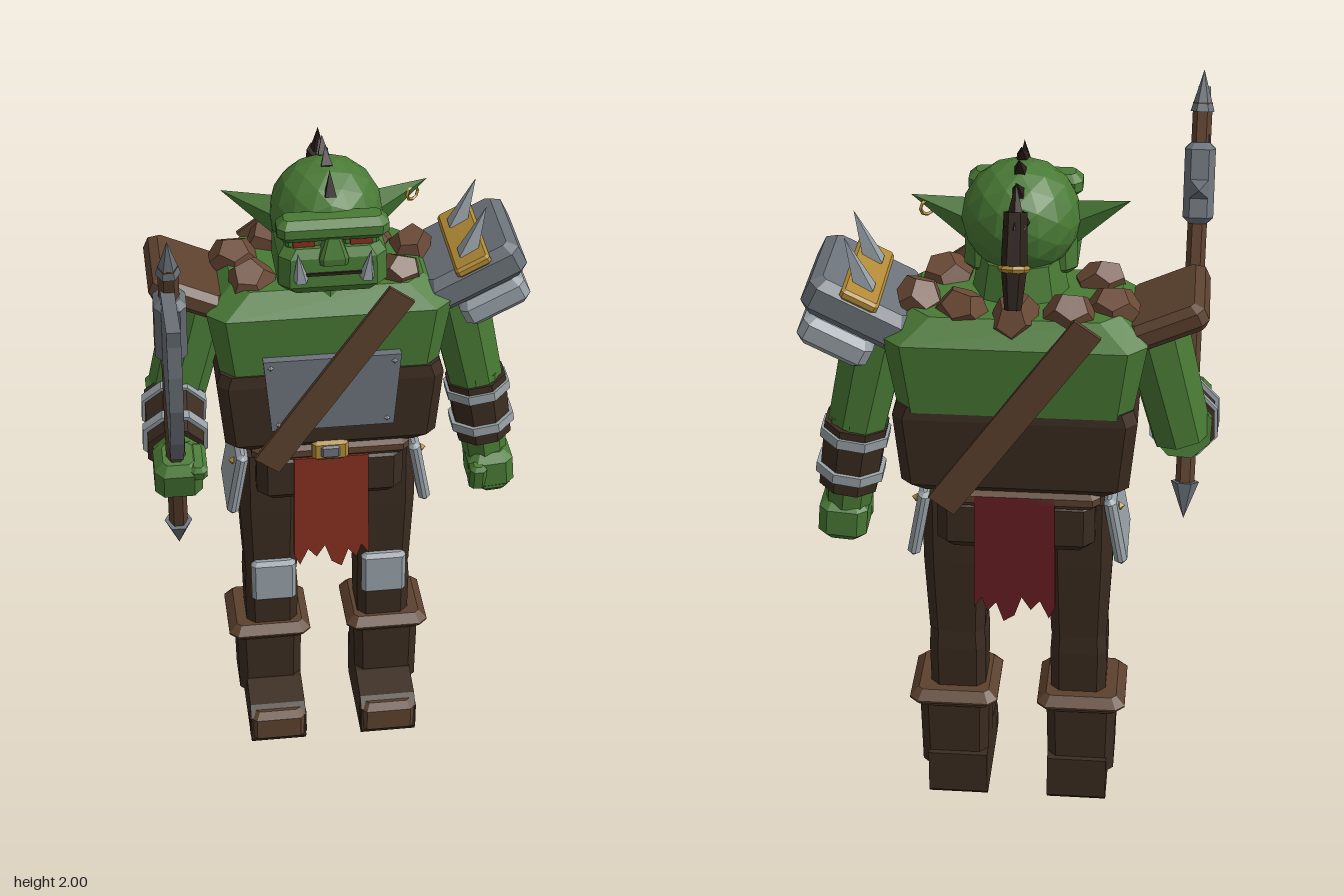
import * as THREE from 'three';

const mat = (name, color) => new THREE.MeshStandardMaterial({ name, color });
const V = (x, y, z) => new THREE.Vector3(x, y, z);
const CX = -0.01; // body midline

export function createModel() {
  const root = new THREE.Group();
  root.name = 'axeWarrior';
  const skin = mat('greenSkin', 0x497a35), dark = mat('darkLeather', 0x3b2c20), leather = mat('brownLeather', 0x5c412e),
    fur = mat('fur', 0x6b4a36), steel = mat('steel', 0x6b7279), pale = mat('paleSteel', 0x98a1a7),
    gold = mat('gold', 0xb18a36), red = mat('redCloth', 0x86301f), wine = mat('darkRedCloth', 0x681e22),
    hair = mat('darkHair', 0x2c211a);

  // Faceted mesh
  function add(name, geo, material, pos = [0, 0, 0], rot = [0, 0, 0], parent = root) {
    const g = geo.index ? geo.toNonIndexed() : geo;
    g.computeVertexNormals();
    const m = new THREE.Mesh(g, material);
    m.name = name;
    m.position.set(...pos);
    m.rotation.set(...rot);
    parent.add(m);
    return m;
  }
  // Octagonal cross-sections [y, halfWidth, halfDepth, cornerCut] stacked upward and capped
  function loft(rings) {
    const p = [], idx = [], n = 8;
    for (const [y, w, d, c] of rings)
      for (const [x, z] of [[w, d - c], [w, c - d], [w - c, -d], [c - w, -d], [-w, c - d], [-w, d - c], [c - w, d], [w - c, d]]) p.push(x, y, z);
    for (let r = 0; r < rings.length - 1; r++)
      for (let i = 0; i < n; i++) {
        const a = r * n + i, b = r * n + (i + 1) % n;
        idx.push(a, b, b + n, a, b + n, a + n);
      }
    const t = (rings.length - 1) * n;
    for (let i = 1; i < n - 1; i++) idx.push(0, i + 1, i, t, t + i, t + i + 1);
    const g = new THREE.BufferGeometry();
    g.setAttribute('position', new THREE.Float32BufferAttribute(p, 3));
    g.setIndex(idx);
    return g;
  }
  // Box with chamfered edges
  const block = (w, h, d, c = 0.015) => loft([
    [-h / 2, w / 2 - c, d / 2 - c, c * 0.5], [-h / 2 + c, w / 2, d / 2, c],
    [h / 2 - c, w / 2, d / 2, c], [h / 2, w / 2 - c, d / 2 - c, c * 0.5]]);
  // Tapered prism from a to b
  function limb(name, a, b, r1, r2, material, n = 8) {
    const d = b.clone().sub(a);
    const m = add(name, new THREE.CylinderGeometry(r2, r1, d.length(), n, 1, false, Math.PI / n), material,
      a.clone().add(b).multiplyScalar(0.5).toArray());
    m.quaternion.setFromUnitVectors(V(0, 1, 0), d.normalize());
    return m;
  }
  const flat = (pts, depth) => new THREE.ExtrudeGeometry(
    new THREE.Shape(pts.map(([x, y]) => new THREE.Vector2(x, y))), { depth, bevelEnabled: false });
  // Side profile given as [z, y], extruded across x and centred
  const side = (pts, w) => flat(pts, w).rotateY(-Math.PI / 2).translate(w / 2, 0, 0);

  // Torso
  add('chest', loft([[1.32, 0.31, 0.195, 0.04], [1.52, 0.345, 0.21, 0.05], [1.585, 0.27, 0.16, 0.05]]), skin, [CX, 0, -0.295]);
  add('vest', loft([[1.07, 0.27, 0.165, 0.03], [1.1, 0.305, 0.195, 0.03], [1.3, 0.324, 0.203, 0.03], [1.335, 0.312, 0.197, 0.03]]), dark, [CX, 0, -0.29]);
  add('belt', block(0.46, 0.06, 0.37, 0.02), leather, [CX, 1.055, -0.29]);
  add('hips', block(0.43, 0.17, 0.33, 0.03), dark, [CX, 0.96, -0.285]);
  add('neck', new THREE.CylinderGeometry(0.11, 0.14, 0.16, 8), skin, [CX, 1.6, -0.25]);
  add('buckle', block(0.105, 0.065, 0.03, 0.01), gold, [CX - 0.005, 1.07, -0.1]);
  add('buckleCentre', block(0.055, 0.04, 0.02, 0.006), steel, [CX - 0.005, 1.07, -0.088]);
  add('chestPlate', flat([[-0.175, 1.165], [0.175, 1.165], [0.195, 1.395], [-0.195, 1.395]], 0.03), steel, [CX, 0, -0.098]);
  for (const s of [-1, 1]) for (const [x, y] of [[0.155, 1.185], [0.175, 1.375]])
    add('chestRivet', new THREE.OctahedronGeometry(0.009), pale, [CX + s * x, y, -0.067]);
  for (const [name, z, a] of [['frontStrap', -0.06, 0.95], ['backStrap', -0.512, -0.95]])
    add(name, new THREE.BoxGeometry(0.66, 0.085, 0.014), leather, [CX, 1.325, z], [0, 0, a]);

  // Torn cloths
  const cloth = [[-0.108, 1.035], [-0.112, 0.69], [-0.095, 0.655], [-0.07, 0.71], [-0.045, 0.68], [-0.02, 0.72], [0.0, 0.66],
    [0.03, 0.64], [0.05, 0.7], [0.075, 0.67], [0.09, 0.715], [0.112, 0.68], [0.108, 1.035]];
  add('frontCloth', flat(cloth.slice().reverse(), 0.02), red, [CX, 0, -0.128]);
  add('backCloth', flat(cloth.slice().reverse(), 0.02), wine, [CX, 0.03, -0.475]);

  // Fur collar
  [[-0.26, -0.35], [-0.15, -0.415], [-0.01, -0.43], [0.13, -0.405], [0.245, -0.345], [-0.22, -0.2], [0.19, -0.2]].forEach(([x, z], i) =>
    add('furTuft', new THREE.DodecahedronGeometry(0.074).scale(1, 0.8, 1), fur, [x, 1.58, z], [i * 0.9, i * 1.7, i * 0.5]));

  // Head
  add('head', new THREE.IcosahedronGeometry(0.158, 2).scale(1, 0.97, 1), skin, [CX, 1.78, -0.228]);
  add('jaw', loft([[1.62, 0.13, 0.1, 0.03], [1.645, 0.15, 0.118, 0.03], [1.73, 0.148, 0.115, 0.03], [1.755, 0.13, 0.1, 0.03]]), skin, [CX, 0, -0.155]);
  add('brow', block(0.305, 0.065, 0.09, 0.02), skin, [CX, 1.812, -0.075]);
  add('nose', loft([[1.715, 0.038, 0.035, 0.01], [1.735, 0.04, 0.037, 0.01], [1.79, 0.02, 0.02, 0.006]]), skin, [CX, 0, -0.058]);
  add('mouth', new THREE.BoxGeometry(0.17, 0.008, 0.006), hair, [CX, 1.685, -0.036]);
  for (const s of [-1, 1]) {
    add('eye', new THREE.BoxGeometry(0.06, 0.026, 0.009), red, [CX + s * 0.078, 1.77, -0.066]);
    add('eyeSocket', block(0.1, 0.04, 0.05, 0.008), skin, [CX + s * 0.078, 1.768, -0.094]);
    limb('tusk', V(CX + s * 0.09, 1.67, -0.035), V(CX + s * 0.1, 1.762, -0.02), 0.022, 0, pale, 5);
    add('ear', new THREE.ConeGeometry(0.062, 0.18, 4).rotateZ(-s * 1.15).scale(1, 1, 0.42), skin,
      [CX + s * 0.205, 1.805, -0.245], [0, s * 0.15, 0]);
  }
  add('earring', new THREE.TorusGeometry(0.02, 0.005, 4, 8), gold, [0.235, 1.803, -0.25], [0, 0.6, 0]);

  // Crest and braid
  [[0.115, 0.1, 0.1, 0.17], [0.03, 0.145, -0.005, 0.192], [-0.045, 0.14, -0.08, 0.187], [-0.105, 0.105, -0.145, 0.15]].forEach(([z, y, tz, ty]) =>
    limb('crestSpike', V(CX, 1.78 + y, -0.228 + z), V(CX, 1.78 + ty, -0.228 + tz), 0.022, 0, hair, 4));
  limb('braidRoot', V(CX, 1.82, -0.36), V(CX, 1.84, -0.44), 0.035, 0.025, hair, 6);
  limb('braidTuft', V(CX, 1.83, -0.43), V(CX, 1.945, -0.4), 0.03, 0, hair, 5);
  limb('braidUpper', V(CX, 1.87, -0.415), V(CX, 1.74, -0.463), 0.03, 0.034, hair, 6);
  limb('braidLower', V(CX, 1.74, -0.463), V(CX, 1.635, -0.5), 0.034, 0.022, hair, 6);
  add('braidRing', new THREE.TorusGeometry(0.034, 0.009, 5, 8), gold, [CX, 1.735, -0.465], [Math.PI / 2 + 0.35, 0, 0]);

  // Armour on the right shoulder
  add('leatherPauldron', block(0.215, 0.075, 0.295, 0.02), leather, [-0.405, 1.56, -0.293], [0, 0, -0.42]);

  // Armour on the left shoulder
  const pauldron = new THREE.Group();
  pauldron.name = 'steelPauldron';
  pauldron.position.set(0.405, 1.575, -0.295);
  pauldron.rotation.z = 0.46;
  root.add(pauldron);
  add('upperPlate', block(0.29, 0.11, 0.33, 0.025), steel, [0, 0, 0], [0, 0, 0], pauldron);
  add('lowerPlate', block(0.2, 0.085, 0.3, 0.02), pale, [0.015, -0.105, 0], [0, 0, 0], pauldron);
  add('goldBand', block(0.105, 0.03, 0.336, 0.008), gold, [0.01, 0.048, 0], [0, 0, 0], pauldron);
  for (const z of [-0.38, -0.207]) limb('pauldronSpike', V(0.385, 1.62, z), V(0.437, 1.768, z), 0.035, 0, pale, 4);

  // Steel-ringed bracer from a to b
  function bracer(a, b) {
    limb('bracer', a, b, 0.085, 0.092, dark);
    for (const t of [0.2, 0.75])
      limb('bracerRing', a.clone().lerp(b, t), a.clone().lerp(b, t + 0.14), 0.1, 0.1, pale);
  }

  // Left arm, hanging
  limb('leftUpperArm', V(0.36, 1.52, -0.28), V(0.435, 1.18, -0.28), 0.095, 0.084, skin);
  limb('leftForearm', V(0.435, 1.2, -0.28), V(0.472, 0.92, -0.27), 0.08, 0.065, skin);
  bracer(V(0.467, 0.98, -0.277), V(0.437, 1.18, -0.28));
  add('leftFist', block(0.135, 0.125, 0.15, 0.025), skin, [0.483, 0.875, -0.262], [0, 0, 0.08]);
  add('leftFingers', block(0.1, 0.07, 0.13, 0.02), skin, [0.49, 0.84, -0.255], [0, 0, 0.08]);
  add('leftThumb', block(0.05, 0.09, 0.05, 0.012), skin, [0.44, 0.87, -0.2], [0.2, 0, 0]);

  // Right arm, bent forward to grip the axe
  limb('rightUpperArm', V(-0.36, 1.52, -0.28), V(-0.45, 1.17, -0.27), 0.095, 0.084, skin);
  limb('rightForearm', V(-0.45, 1.2, -0.3), V(-0.462, 1.12, 0), 0.085, 0.065, skin);
  bracer(V(-0.46, 1.135, -0.05), V(-0.452, 1.185, -0.25));
  add('rightFist', block(0.135, 0.135, 0.13, 0.025), skin, [-0.46, 1.115, 0.015], [0.3, 0, 0]);
  add('rightThumb', block(0.05, 0.05, 0.11, 0.012), skin, [-0.405, 1.15, 0.035], [0.3, 0, 0]);

  // Battle axe, placed along its shaft by t from bottom tip to top tip
  const tail = V(-0.462, 0.79, -0.085), tip = V(-0.472, 2, 0.302);
  const at = (t) => tail.clone().lerp(tip, t);
  const tilt = Math.atan2(0.387, 1.21);
  limb('axeShaft', at(0.06), at(0.93), 0.027, 0.027, leather, 6);
  limb('axeButtSpike', at(0.085), at(0), 0.04, 0, steel, 6);
  limb('axeTopSpike', at(0.91), at(1), 0.033, 0, steel, 6);
  add('axeSocket', block(0.085, 0.225, 0.085, 0.018), steel, at(0.755).toArray(), [tilt, 0, 0]);
  limb('axeBackSpike', V(-0.47, 1.7, 0.17), V(-0.47, 1.735, 0.075), 0.04, 0, steel, 4);
  add('axeBlade', side([[0.235, 1.835], [0.2, 1.7], [0.175, 1.58], [0.365, 1.385], [0.45, 1.49], [0.5, 1.62],
    [0.515, 1.73], [0.515, 1.82], [0.525, 1.868], [0.29, 1.838]], 0.036), steel, [-0.475, 0, 0]);

  // Legs and hip plates
  for (const s of [-1, 1]) {
    const x = CX + s * 0.172;
    add('thigh', loft([[0.56, 0.078, 0.088, 0.025], [0.8, 0.09, 0.1, 0.03], [1.0, 0.09, 0.1, 0.03]]), dark, [x, 0, -0.287]);
    add('shin', loft([[0.34, 0.078, 0.08, 0.025], [0.5, 0.08, 0.088, 0.025], [0.6, 0.074, 0.085, 0.025]]), dark, [x, 0, -0.287]);
    add('bootShaft', loft([[0.1, 0.095, 0.088, 0.025], [0.34, 0.1, 0.092, 0.025]]), dark, [x + s * 0.01, 0, -0.295]);
    add('bootCuff', block(0.25, 0.055, 0.25, 0.025), leather, [x + s * 0.01, 0.343, -0.295]);
    add('foot', side([[-0.4, 0.02], [-0.38, 0], [-0.08, 0], [-0.066, 0.02], [-0.07, 0.1], [-0.1, 0.13], [-0.2, 0.15], [-0.4, 0.15]], 0.17), dark, [x, 0, 0]);
    add('toeCap', block(0.176, 0.11, 0.07, 0.02), leather, [x, 0.063, -0.092]);
    add('kneePlate', block(0.135, 0.145, 0.04, 0.012), pale, [x - s * 0.004, 0.545, -0.192]);
    const plate = new THREE.Group();
    plate.name = 'hipPlate';
    plate.position.set(CX + s * 0.27, 0.917, -0.278);
    plate.rotation.z = s * 0.18;
    root.add(plate);
    add('plate', block(0.035, 0.205, 0.24, 0.012), pale, [0, 0, 0], [0, 0, 0], plate);
    for (const z of [-0.07, 0.07])
      add('plateRivet', new THREE.OctahedronGeometry(0.014), gold, [s * 0.02, 0.06, z], [0, 0, 0], plate);
  }
  return root;
}
